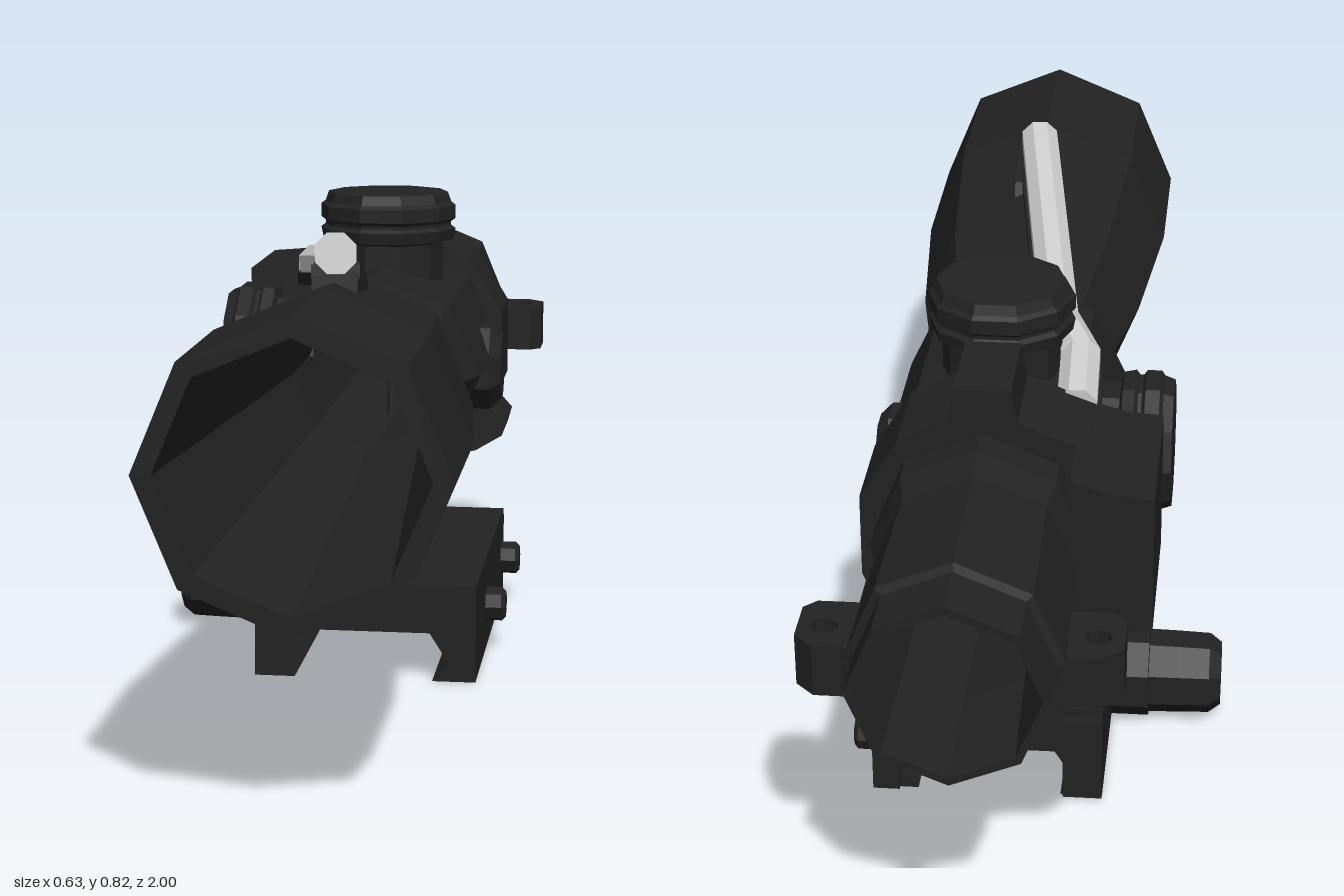
import * as THREE from 'three';

const CX = 0.066, CY = 0.528; // optical axis

export function createModel() {
  const model = new THREE.Group();
  model.name = 'rifleScope';
  const mat = (name, color) => {
    const m = new THREE.MeshStandardMaterial({ color, flatShading: true });
    m.name = name;
    return m;
  };
  const black = mat('matteBlack', 0x222222);
  const grey = mat('lightGrey', 0xd0d0d0);
  const ink = mat('reticleBlack', 0x111111);
  ink.side = THREE.DoubleSide;

  const add = (name, geo, material = black, x = 0, y = 0, z = 0) => {
    const mesh = new THREE.Mesh(geo, material);
    mesh.name = name;
    mesh.position.set(x, y, z);
    model.add(mesh);
    return mesh;
  };
  const vec = (pts) => pts.map(([a, b]) => new THREE.Vector2(a, b));
  const lathe = (pts, sides, start = 0) => new THREE.LatheGeometry(vec(pts), sides, start);
  // eight-sided hollow tube along z, profile of [radius, z]
  const tube = (pts) => lathe([...pts, pts[0]], 8).rotateX(Math.PI / 2);
  const ringPath = (x, y, r, n) => new THREE.Path(vec(Array.from({ length: n }, (_, i) => {
    const a = -i / n * Math.PI * 2;
    return [x + r * Math.sin(a), y + r * Math.cos(a)];
  })));
  const extrude = (pts, z0, z1, ...holes) => {
    const shape = new THREE.Shape(vec(pts));
    shape.holes.push(...holes);
    return new THREE.ExtrudeGeometry(shape, { depth: z1 - z0, bevelEnabled: false }).translate(0, 0, z0);
  };

  // Main tube: outside from back to front, then the bore from front to back
  add('scopeTube', tube([
    [0.15, -1], [0.15, -0.9], [0.163, -0.895], [0.158, -0.62], [0.172, -0.57], [0.172, -0.5],
    [0.165, -0.33], [0.163, 0.14], [0.2, 0.35], [0.231, 0.69], [0.231, 1],
    [0.2, 1], [0.131, 0.1], [0.131, -0.8], [0.138, -1],
  ]), black, CX, CY);

  // Wider middle housing
  add('turretHousing', tube([
    [0.145, -0.34], [0.166, -0.34], [0.166, 0.08], [0.145, 0.15],
  ]), black, CX, CY).scale.x = 1.15;

  // Clamp ring with a raised top lug and side notch
  add('clampRing', extrude([
    [0, 0.305], [0.13, 0.305], [0.215, 0.315], [0.265, 0.345], [0.272, 0.37], [0.245, 0.4],
    [0.262, 0.44], [0.262, 0.58], [0.2, 0.68], [0.12, 0.72], [0.11, 0.775], [0.02, 0.775],
    [0.01, 0.72], [-0.1, 0.675], [-0.15, 0.58], [-0.15, 0.41], [-0.13, 0.34], [-0.08, 0.315],
  ], -0.51, -0.335, ringPath(CX, CY, 0.14, 8)));
  add('sideBlock', extrude([
    [-0.21, 0.42], [-0.08, 0.42], [-0.08, 0.68], [-0.15, 0.66], [-0.21, 0.655],
  ], -0.62, -0.335));

  // Adjustment knobs: one on top, one on the right side
  const knob = [
    [0.1, 0], [0.1, 0.075], [0.118, 0.08], [0.122, 0.1], [0.114, 0.106], [0.114, 0.112],
    [0.122, 0.118], [0.122, 0.142], [0.114, 0.148], [0.108, 0.165], [0, 0.165],
  ];
  add('topKnob', lathe(knob, 10, Math.PI / 2), black, CX, 0.653, -0.185);
  add('rightKnob', lathe(knob, 10).rotateZ(Math.PI / 2), black, -0.057, CY, -0.185);
  add('leftCap', lathe([[0.08, 0], [0.08, 0.065], [0.06, 0.085], [0, 0.085]], 8, Math.PI / 8)
    .rotateZ(-Math.PI / 2), black, 0.19, 0.5, -0.195);

  // Eyepiece lugs with vertical holes
  for (const s of [-1, 1]) {
    const pts = [[0.13, -0.07], [0.225, -0.07], [0.245, -0.05], [0.245, 0.03], [0.215, 0.06], [0.17, 0.06], [0.13, 0.075]];
    const lug = extrude(pts.map(([a, b]) => [s * a, b]), 0, 0.085, ringPath(s * 0.205, 0, 0.021, 8));
    add(s > 0 ? 'leftLug' : 'rightLug', lug.rotateX(-Math.PI / 2), black, CX, 0.445, -0.82);
  }

  // Rail mount: dovetail base and drilled neck
  add('mountBase', extrude([
    [-0.125, 0.005], [-0.055, 0.005], [-0.08, 0.035], [-0.045, 0.09], [0.18, 0.09], [0.215, 0.035],
    [0.185, 0.005], [0.26, 0.005], [0.26, 0.175], [-0.125, 0.175],
  ], -0.475, 0.165));
  for (const [name, x, w] of [['rightBaseEnd', -0.0925, 0.065], ['leftBaseEnd', 0.2375, 0.045]]) {
    add(name, new THREE.BoxGeometry(w, 0.15, 0.02), black, x, 0.085, -0.48);
  }
  add('mountNeck', extrude([[0.008, 0.17], [0.125, 0.17], [0.125, 0.395], [0.008, 0.395]],
    -0.37, 0.165, ringPath(CX, 0.26, 0.042, 8)));
  add('mountSaddle', extrude([
    [0.008, 0.3], [0.125, 0.3], [0.17, 0.35], [0.17, 0.4], [-0.04, 0.4], [-0.04, 0.35],
  ], -0.36, 0.1, new THREE.Path(vec([[0.03, 0.385], [0.03, 0.39], [0.1, 0.39], [0.1, 0.385]]))));

  // Clamp nut and cross bolts
  add('clampNut', lathe([
    [0.08, 0], [0.08, 0.065], [0.073, 0.066], [0.072, 0.115], [0.07, 0.17], [0.055, 0.19], [0, 0.19],
  ], 8, Math.PI / 8).rotateZ(Math.PI / 2), black, -0.125, 0.085, -0.2);
  for (const z of [-0.07, -0.435]) {
    add('crossBolt', lathe([[0.031, 0], [0.031, 0.03], [0.024, 0.037], [0, 0.037]], 8)
      .rotateZ(-Math.PI / 2), black, 0.258, 0.087, z);
    add('undersideScrew', new THREE.CylinderGeometry(0.03, 0.03, 0.008, 8), black, CX, 0.087, z);
  }

  // Light rod along the top, on a thin dark rail
  const path = [[0.066, 0.79, 0.53], [-0.02, 0.7, -0.08], [-0.065, 0.685, -0.19], [-0.07, 0.668, -0.338]]
    .map((p) => new THREE.Vector3(...p));
  for (let i = 0; i < 3; i++) {
    const a = path[i], b = path[i + 1], len = a.distanceTo(b);
    const mid = a.clone().add(b).multiplyScalar(0.5);
    const rod = add('lightRod', new THREE.CylinderGeometry(0.035, 0.035, len + 0.008, 8, 1)
      .rotateY(Math.PI / 8).rotateX(Math.PI / 2), grey, ...mid);
    rod.lookAt(a);
    const rail = add('rodRail', new THREE.BoxGeometry(0.076, 0.022, len).translate(0, -0.028, 0), black, ...mid);
    rail.lookAt(a);
  }
  // Wedge holding the front of the rod
  add('rodHolder', extrude([[-0.55, 0.7], [-0.4, 0.7], [-0.42, 0.745], [-0.515, 0.775], [-0.54, 0.755]], -0.036, 0.036)
    .rotateY(Math.PI / 2), black, CX);

  // Reticle: fine cross, thick ends and range marks
  const mark = (x, y, w, h) => add('reticle', new THREE.PlaneGeometry(w, h), ink, CX + x, 0.521 + y, -0.2);
  mark(0, 0, 0.24, 0.0015);
  mark(0, 0, 0.0015, 0.23);
  for (const s of [-1, 1]) {
    mark(s * 0.097, 0, 0.044, 0.003);
    mark(0, s * 0.092, 0.004, 0.044);
  }
  for (let i = 1; i <= 5; i++) mark(0, -i * 0.011, 0.014 - i * 0.0015, 0.002);

  return model;
}
